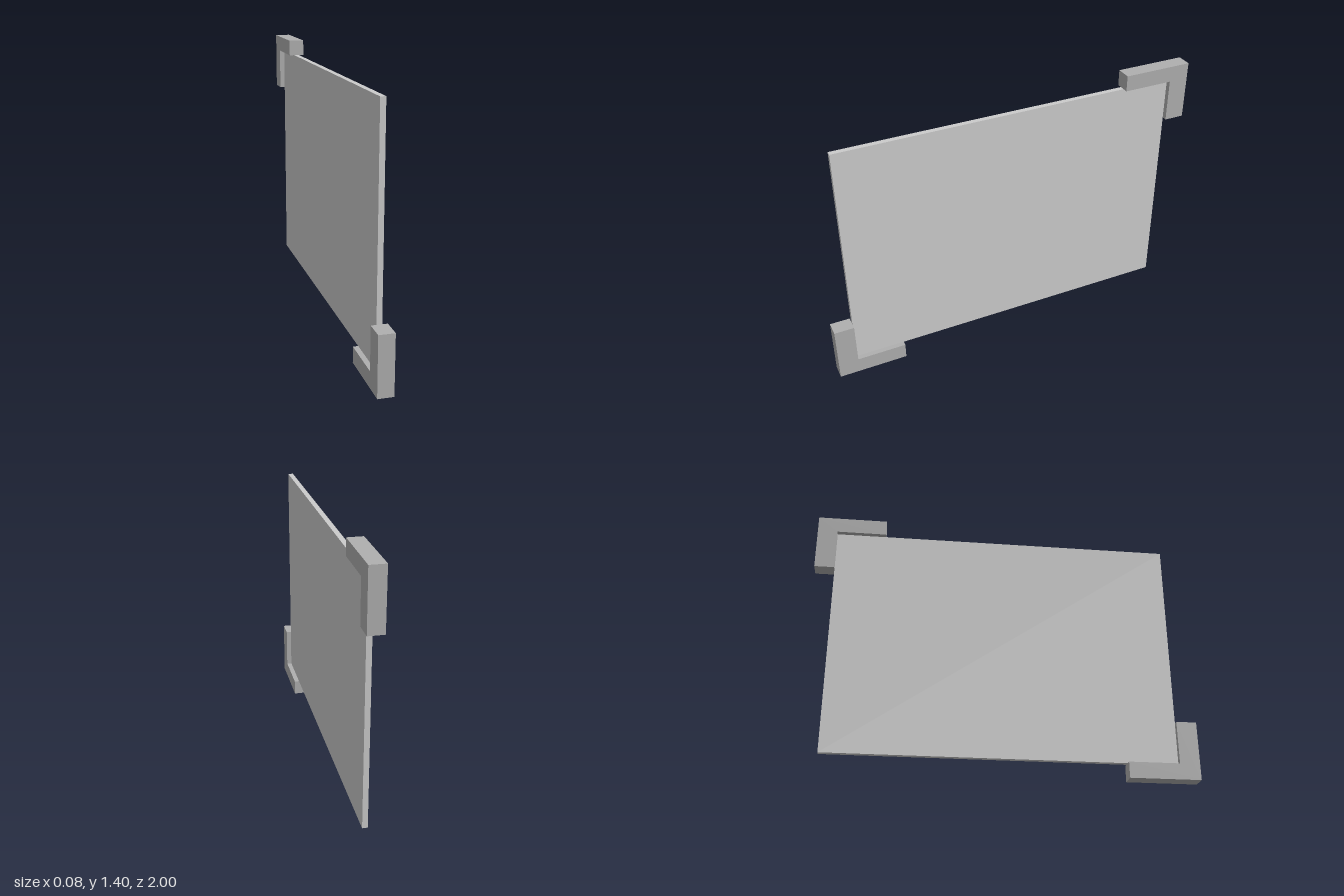
import * as THREE from 'three';

const HEIGHT = 1.4;

export function createModel() {
  const group = new THREE.Group();
  group.name = 'panelWithCornerBrackets';

  const panelMaterial = new THREE.MeshStandardMaterial({ color: 0xcccccc });
  const bracketMaterial = new THREE.MeshStandardMaterial({ color: 0xafafaf });

  // Thin upright panel
  const panel = new THREE.Mesh(new THREE.BoxGeometry(0.027, 1.235, 1.793), panelMaterial);
  panel.name = 'panel';
  panel.position.y = HEIGHT / 2;
  group.add(panel);

  // L-shaped profile, drawn as (z, y) and extruded across x
  const profile = new THREE.Shape(
    [[1, 0], [1, 0.304], [0.896, 0.304], [0.896, 0.083], [0.635, 0.083], [0.635, 0]]
      .map(([z, y]) => new THREE.Vector2(z, y - HEIGHT / 2))
  );
  const bracketGeometry = new THREE.ExtrudeGeometry(profile, { depth: 0.08, bevelEnabled: false });
  bracketGeometry.translate(0, 0, -0.04).rotateY(-Math.PI / 2);

  // Lower front bracket, and the same one turned half round for the upper back
  [['lowerFrontBracket', 0], ['upperBackBracket', Math.PI]].forEach(([name, turn]) => {
    const bracket = new THREE.Mesh(bracketGeometry, bracketMaterial);
    bracket.name = name;
    bracket.position.y = HEIGHT / 2;
    bracket.rotation.x = turn;
    group.add(bracket);
  });

  return group;
}
